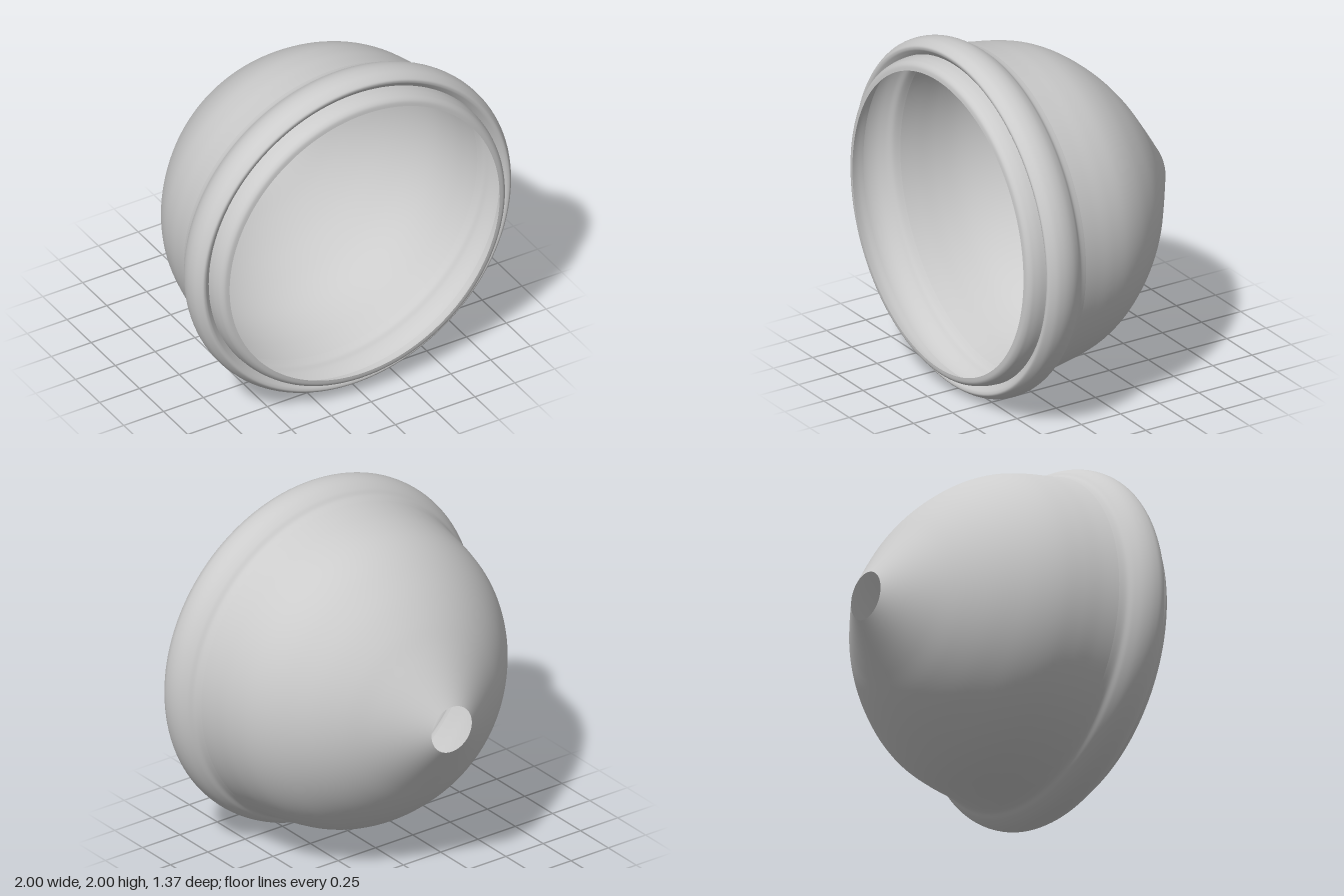
import * as THREE from 'three';

const material = new THREE.MeshStandardMaterial({ color: 0xcccccc, side: THREE.DoubleSide });

// Revolves a smooth [radius, z] profile, listed back to front, around the z axis
function revolve(name, profile, steps) {
  const curve = new THREE.SplineCurve(profile.map(([r, z]) => new THREE.Vector2(r, z)));
  const geometry = new THREE.LatheGeometry(curve.getPoints(steps), 128);
  geometry.rotateX(Math.PI / 2);
  const mesh = new THREE.Mesh(geometry, material);
  mesh.name = name;
  mesh.position.y = 1;
  return mesh;
}

export function createModel() {
  const group = new THREE.Group();
  group.name = 'domeShell';

  // Thin bowl: a straight cone at the small back hole, rounding out to the sides
  group.add(revolve('dome', [
    [0.135, -0.683], [0.265, -0.595], [0.4, -0.502], [0.53, -0.408], [0.645, -0.305],
    [0.74, -0.195], [0.807, -0.095], [0.855, 0.01], [0.886, 0.13], [0.905, 0.24],
    [0.921, 0.33],
  ], 80));

  // Rounded rim bead, rolling over its front into a groove
  group.add(revolve('rim', [
    [0.921, 0.33], [0.935, 0.37], [0.962, 0.4], [0.986, 0.44], [0.998, 0.48], [1.0, 0.52],
    [0.992, 0.56], [0.968, 0.597], [0.948, 0.6], [0.93, 0.588], [0.912, 0.572],
  ], 60));

  // Narrow lip around the front opening
  group.add(revolve('frontLip', [
    [0.912, 0.572], [0.909, 0.61], [0.902, 0.64], [0.893, 0.662], [0.875, 0.678], [0.848, 0.683],
  ], 24));

  return group;
}
